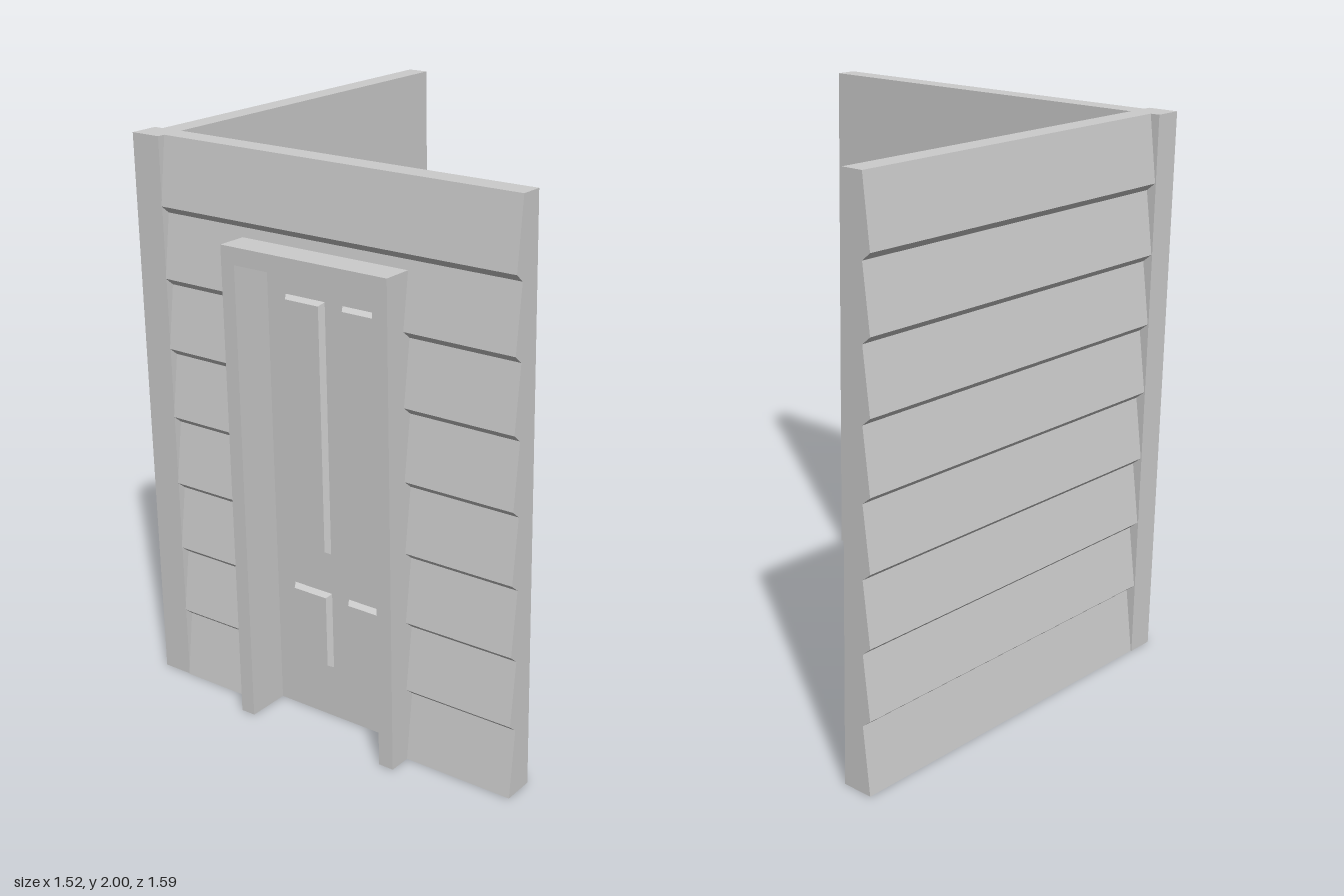
import * as THREE from 'three';

const material = new THREE.MeshStandardMaterial({ color: 0xcccccc, flatShading: true });
const HEIGHT = 2, COURSE = 0.25;

function part(geometry, name) {
  const mesh = new THREE.Mesh(geometry, material);
  mesh.name = name;
  return mesh;
}

// Box given by its limits on each axis
function block(name, [x0, x1], [y0, y1], [z0, z1]) {
  const mesh = part(new THREE.BoxGeometry(x1 - x0, y1 - y0, z1 - z0), name);
  mesh.position.set((x0 + x1) / 2, (y0 + y1) / 2, (z0 + z1) / 2);
  return mesh;
}

// Lapped-board wall: stepped outer face, flat inner face, extruded along its length
function boardWall(name, length, bottom = 0) {
  const thin = 0.08, thick = 0.112;
  const outline = [[0, bottom]];
  for (let y = 0; y < HEIGHT; y += COURSE) {
    const lip = y === 0 ? 0 : y + 0.015;
    const top = y + COURSE === HEIGHT ? HEIGHT : y + COURSE - 0.012;
    if (top <= bottom) continue;
    const taper = (h) => thick + (thin - thick) * (h - lip) / (top - lip);
    const start = Math.max(lip, bottom);
    outline.push([taper(start), start], [thin, top]);
  }
  outline.push([0, HEIGHT]);
  const shape = new THREE.Shape(outline.map(([x, y]) => new THREE.Vector2(x, y)));
  return part(new THREE.ExtrudeGeometry(shape, { depth: length, bevelEnabled: false }), name);
}

export function createModel() {
  const model = new THREE.Group();
  model.name = 'houseCornerWithDoor';

  // Front wall in three pieces around the doorway
  const pieces = [
    ['frontWallLeft', 0.32, 0.758, 0],
    ['frontWallAboveDoor', -0.29, 0.32, 1.67],
    ['frontWallRight', -0.645, -0.29, 0],
  ];
  for (const [name, x0, x1, bottom] of pieces) {
    const wall = boardWall(name, x1 - x0, bottom);
    wall.rotation.y = -Math.PI / 2;
    wall.position.set(x1, 0, 0.604);
    model.add(wall);
  }

  // Side wall and corner post
  const side = boardWall('sideWall', 1.405);
  side.rotation.y = Math.PI;
  side.position.set(-0.645, 0, 0.608);
  model.add(side);
  model.add(block('cornerPost', [-0.76, -0.645], [0, HEIGHT], [0.608, 0.713]));

  // Door frame, standing proud of the wall on both sides
  const frame = new THREE.Shape([
    [-0.315, 0], [-0.26, 0], [-0.26, 1.645], [0.292, 1.645],
    [0.292, 0], [0.349, 0], [0.349, 1.705], [-0.315, 1.705],
  ].map(([x, y]) => new THREE.Vector2(x, y)));
  const frameMesh = part(new THREE.ExtrudeGeometry(frame, { depth: 0.221, bevelEnabled: false }), 'doorFrame');
  frameMesh.position.z = 0.576;
  model.add(frameMesh);

  // Door leaf with panels raised on both faces
  const door = new THREE.Group();
  door.name = 'door';
  const z0 = 0.61, z1 = 0.64, bevel = 0.012;
  door.add(block('doorLeaf', [-0.26, 0.292], [0, 1.645], [z0, z1]));
  for (const [x0, x1] of [[-0.182, -0.02], [0.053, 0.215]]) {
    for (const [y0, y1] of [[0.195, 0.48], [0.63, 1.525]]) {
      const shape = new THREE.Shape([
        new THREE.Vector2(x0 + bevel, y0 + bevel), new THREE.Vector2(x1 - bevel, y0 + bevel),
        new THREE.Vector2(x1 - bevel, y1 - bevel), new THREE.Vector2(x0 + bevel, y1 - bevel),
      ]);
      const panel = part(new THREE.ExtrudeGeometry(shape, {
        depth: z1 - z0, bevelThickness: 0.02, bevelSize: bevel, bevelSegments: 1,
      }), 'doorPanel');
      panel.position.z = z0;
      door.add(panel);
    }
  }
  model.add(door);
  return model;
}
